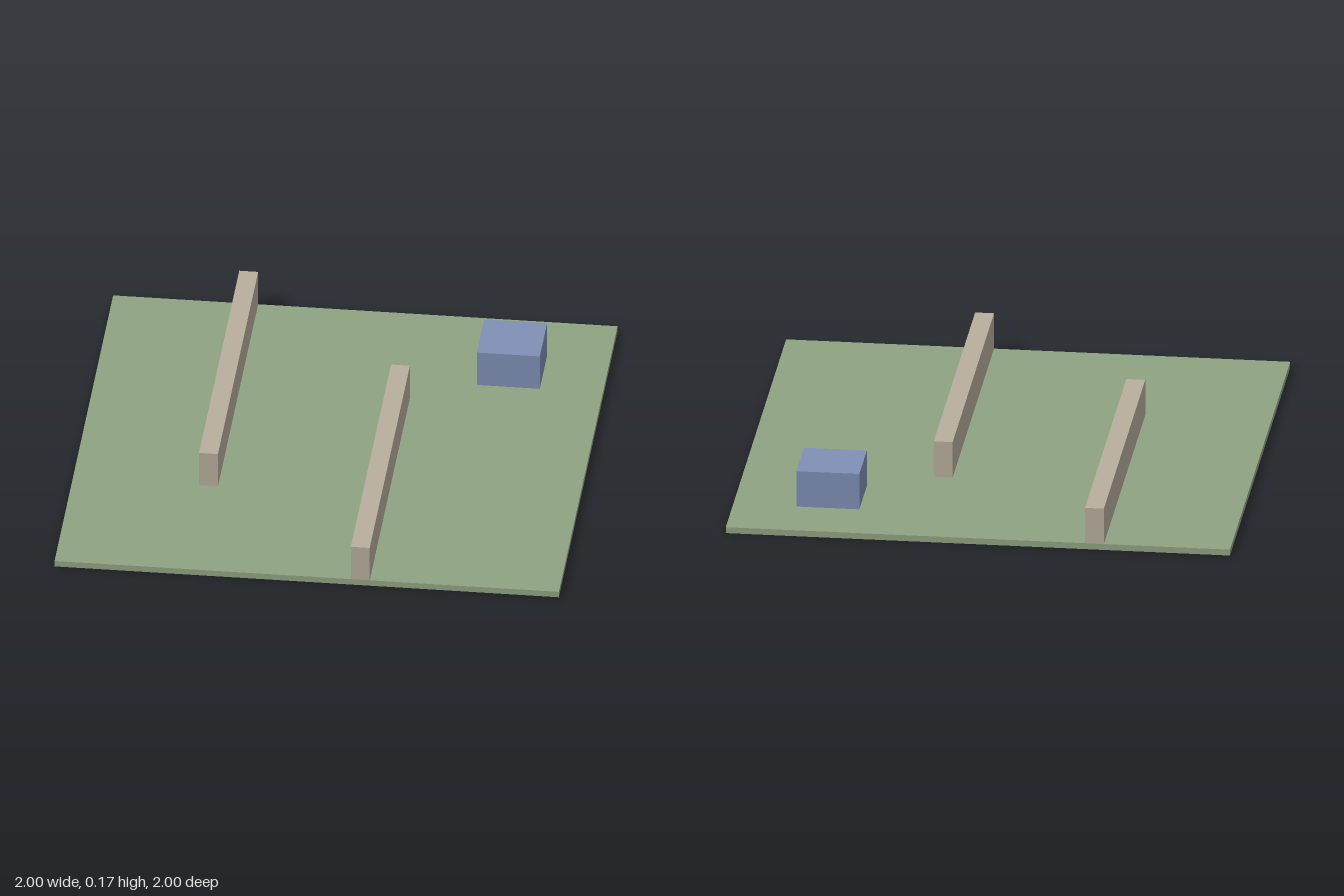
import * as THREE from 'three';

const BASE_HEIGHT = 0.025;
const WALL_HEIGHT = 0.15;

// Box given by its extents along x, y and z
function block(name, color, [x0, x1], [y0, y1], [z0, z1]) {
  const mesh = new THREE.Mesh(
    new THREE.BoxGeometry(x1 - x0, y1 - y0, z1 - z0),
    new THREE.MeshStandardMaterial({ color })
  );
  mesh.position.set((x0 + x1) / 2, (y0 + y1) / 2, (z0 + z1) / 2);
  mesh.name = name;
  return mesh;
}

export function createModel() {
  const model = new THREE.Group();
  model.name = 'walledField';
  const standing = [BASE_HEIGHT, BASE_HEIGHT + WALL_HEIGHT];

  // Flat square ground plate
  model.add(block('groundPlate', 0x8fa382, [-1, 1], [0, BASE_HEIGHT], [-1, 1]));

  // Two staggered walls, each starting at an opposite edge
  model.add(block('backWall', 0xb8ae9c, [-0.5, -0.425], standing, [-1, 0.372]));
  model.add(block('frontWall', 0xb8ae9c, [0.175, 0.25], standing, [-0.372, 1]));

  // Square block in the back left corner
  model.add(block('cornerBlock', 0x7f8fb5, [0.5, 0.75], standing, [-0.75, -0.5]));

  return model;
}
